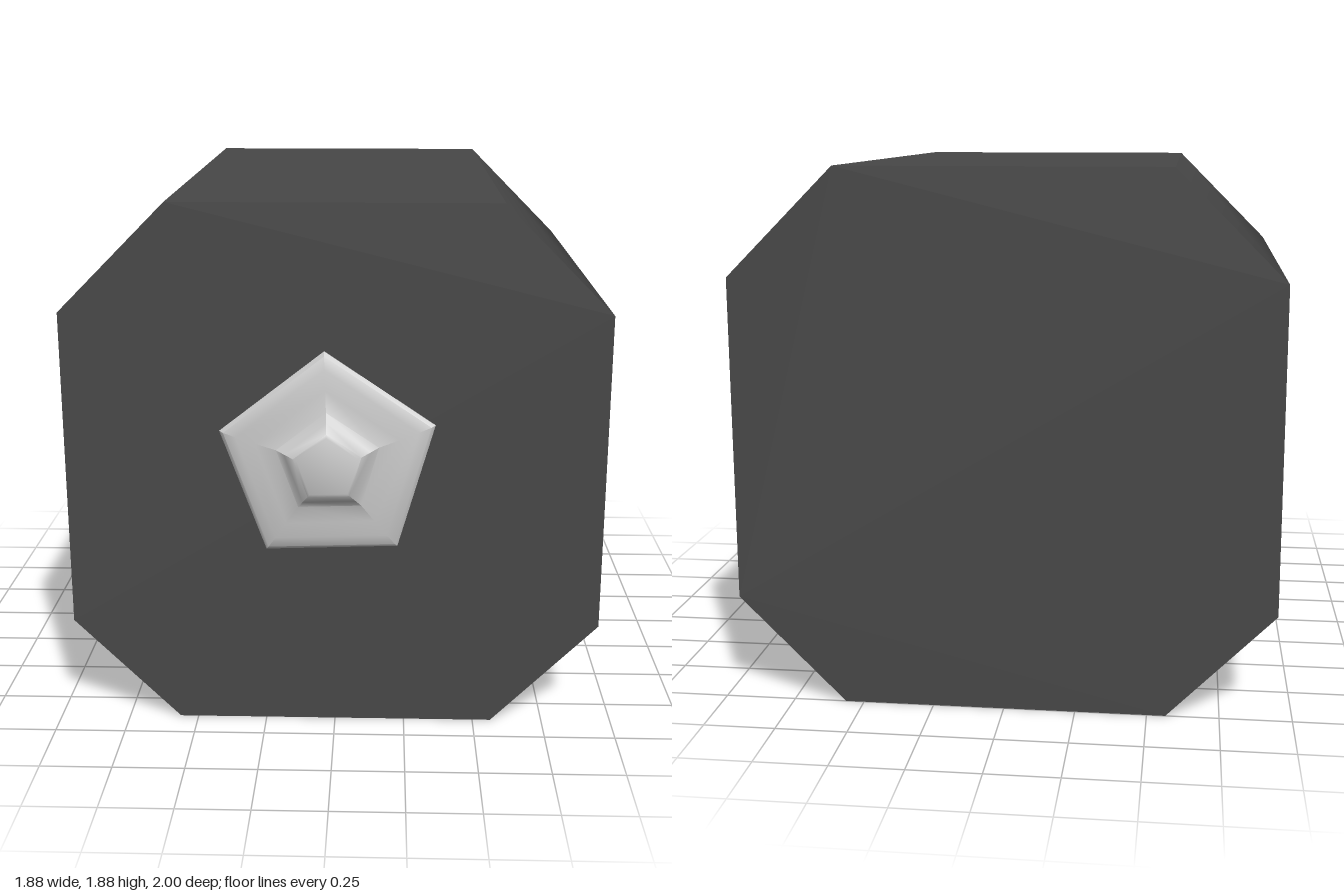
import * as THREE from 'three';
import { toCreasedNormals } from 'three/addons/utils/BufferGeometryUtils.js';

const BACK = -1, FRONT = 0.88;
const HALF = 0.94, FLAT = 0.565, TOP = 1.88, LOW = 0.375, HIGH = 1.505;

// Sweeps a counter-clockwise run of [x, y] points from back to front, smooth along the run
function wall(points) {
  const positions = [], index = [];
  points.forEach(([x, y], i) => {
    positions.push(x, y, BACK, x, y, FRONT);
    if (i === 0) return;
    const a = 2 * (i - 1);
    index.push(a, a + 2, a + 1, a + 1, a + 2, a + 3);
  });
  const geometry = new THREE.BufferGeometry();
  geometry.setAttribute('position', new THREE.Float32BufferAttribute(positions, 3));
  geometry.setIndex(index);
  geometry.computeVertexNormals();
  return geometry;
}

export function createModel() {
  const model = new THREE.Group();
  const dark = new THREE.MeshStandardMaterial({ color: 0x484848 });
  const grey = new THREE.MeshStandardMaterial({ color: 0xcccccc });

  const add = (parent, name, geometry, material) => {
    const mesh = new THREE.Mesh(geometry, material);
    mesh.name = name;
    parent.add(mesh);
    return mesh;
  };

  // Body: each side wall blends smoothly into its two bevels; top and bottom stay flat
  const body = new THREE.Group();
  body.name = 'body';
  model.add(body);
  const right = [[FLAT, 0], [HALF, LOW], [HALF, HIGH], [FLAT, TOP]];
  const left = right.map(([x, y]) => [-x, y]).reverse();
  add(body, 'leftWall', wall(right), dark);
  add(body, 'rightWall', wall(left), dark);
  add(body, 'topWall', wall([right[3], left[0]]), dark);
  add(body, 'bottomWall', wall([left[3], right[0]]), dark);

  // Flat octagonal ends
  const outline = new THREE.Shape([...right, ...left].map(([x, y]) => new THREE.Vector2(x, y)));
  add(body, 'frontFace', new THREE.ShapeGeometry(outline), dark).position.z = FRONT;
  const backFace = add(body, 'backFace', new THREE.ShapeGeometry(outline), dark);
  backFace.rotation.y = Math.PI;
  backFace.position.z = BACK;

  // Knob: five-sided turned profile, [radius, height above the front face]
  const profile = [
    [0, 0], [0.24, 0.002], [0.33, 0.01], [0.375, 0.02], [0.39, 0.032],
    [0.375, 0.045], [0.33, 0.055], [0.26, 0.064], [0.185, 0.07],
    [0.155, 0.092], [0.122, 0.115], [0.11, 0.12], [0, 0.12],
  ].map(([r, h]) => new THREE.Vector2(r, h));
  const knob = new THREE.LatheGeometry(profile, 5, Math.PI + 0.035);
  knob.rotateX(Math.PI / 2);
  add(model, 'knob', toCreasedNormals(knob, 0.7), grey).position.set(-0.02, 0.995, FRONT);

  return model;
}
